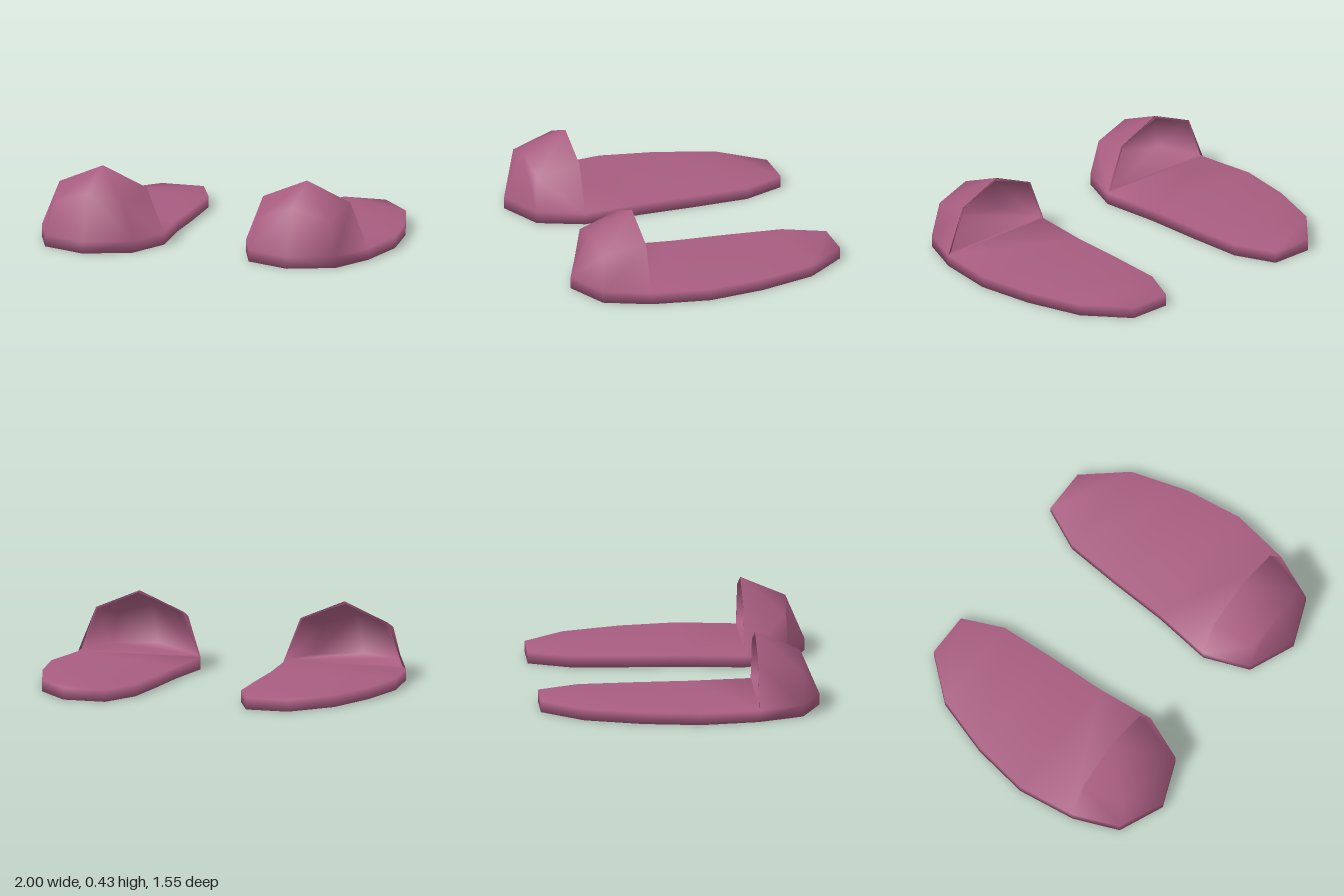
import * as THREE from 'three';

const rose = new THREE.MeshStandardMaterial({ color: 0xa85d80 });
rose.name = 'dusty rose';

const SOLE_TOP = 0.065;
const RIM_Z = 0.418;
const MID_X = 0.597;

// Sole outline [x, z], from the heel along the outer edge, round the toe and back
const OUTLINE = [
  [0.41, -0.775], [0.655, -0.775], [0.85, -0.548], [0.952, -0.23], [1, 0.09],
  [0.954, RIM_Z], [0.85, 0.668], [MID_X, 0.775], [0.34, 0.668],
  [0.24, RIM_Z], [0.275, 0.09], [0.287, -0.23], [0.307, -0.548],
];

// Upper ring of the toe cap, from inner rim round the front to outer rim, then the peak
const CAP = [
  [0.34, 0.318, RIM_Z], [0.39, 0.255, 0.655], [MID_X, 0.318, 0.668],
  [0.804, 0.255, 0.655], [0.85, 0.318, RIM_Z], [MID_X, 0.425, RIM_Z],
];

function createSlipper(side) {
  const points = [];
  const add = (x, y, z) => points.push([x, y, z]) - 1;
  const quadTo = (list) => (a, b, c, d) => {
    const tri = (p, q, r) => list.push(...(side > 0 ? [p, q, r] : [p, r, q]));
    tri(a, b, c);
    if (d !== undefined) tri(a, c, d);
  };

  // Sole: a flat slab
  const soleIndex = [];
  const sole = quadTo(soleIndex);
  const bottom = OUTLINE.map(([x, z]) => add(x, 0, z));
  const top = OUTLINE.map(([x, z]) => add(x, SOLE_TOP, z));
  bottom.forEach((b, i) => {
    const j = (i + 1) % bottom.length;
    sole(b, top[i], top[j], bottom[j]);
  });
  const pairs = [[0, 1], [12, 2], [11, 3], [10, 4], [9, 5], [8, 6]];
  for (let k = 0; k < 5; k++) {
    const [a, b] = pairs[k], [d, c] = pairs[k + 1];
    sole(bottom[a], bottom[b], bottom[c], bottom[d]);
    if (k < 4) sole(top[a], top[d], top[c], top[b]);
  }
  sole(bottom[8], bottom[6], bottom[7]);

  // Toe cap: outer shell standing on the front edge of the sole
  const capIndex = [];
  const cap = quadTo(capIndex);
  const outer = [9, 8, 7, 6, 5].map((i) => top[i]).concat(CAP.map((p) => add(...p)));
  // Inner shell, slightly smaller, with its own floor
  const inner = outer.map((i) => {
    const [x, y, z] = points[i];
    return add(MID_X + (x - MID_X) * 0.945, 0.08 + (y - SOLE_TOP) * 0.917, RIM_Z + (z - RIM_Z) * 0.94);
  });
  const shell = (s, face) => {
    for (let k = 0; k < 4; k++) face(s[k], s[k + 1], s[k + 6], s[k + 5]);
    face(s[10], s[5], s[6], s[7]);
    face(s[10], s[7], s[8], s[9]);
  };
  shell(outer, cap);
  shell(inner, (a, b, c, d) => cap(a, d, c, b));
  cap(inner[0], inner[1], inner[2]);
  cap(inner[0], inner[2], inner[3], inner[4]);

  // Thin rim round the opening
  const arch = [0, 5, 10, 9, 4];
  arch.forEach((a, k) => {
    const b = arch[(k + 1) % arch.length];
    cap(outer[a], outer[b], inner[b], inner[a]);
  });

  // Smooth normals run across both parts
  const whole = new THREE.BufferGeometry();
  whole.setAttribute('position', new THREE.Float32BufferAttribute(
    points.flatMap(([x, y, z]) => [x * side, y, z]), 3));
  whole.setIndex([...soleIndex, ...capIndex]);
  whole.computeVertexNormals();

  const slipper = new THREE.Group();
  slipper.name = side > 0 ? 'leftSlipper' : 'rightSlipper';
  for (const [name, index] of [['sole', soleIndex], ['toeCap', capIndex]]) {
    const geometry = whole.clone();
    geometry.setIndex(index);
    const mesh = new THREE.Mesh(geometry, rose);
    mesh.name = name;
    slipper.add(mesh);
  }
  return slipper;
}

export function createModel() {
  const model = new THREE.Group();
  model.name = 'slippers';
  for (const side of [1, -1]) model.add(createSlipper(side));
  return model;
}
